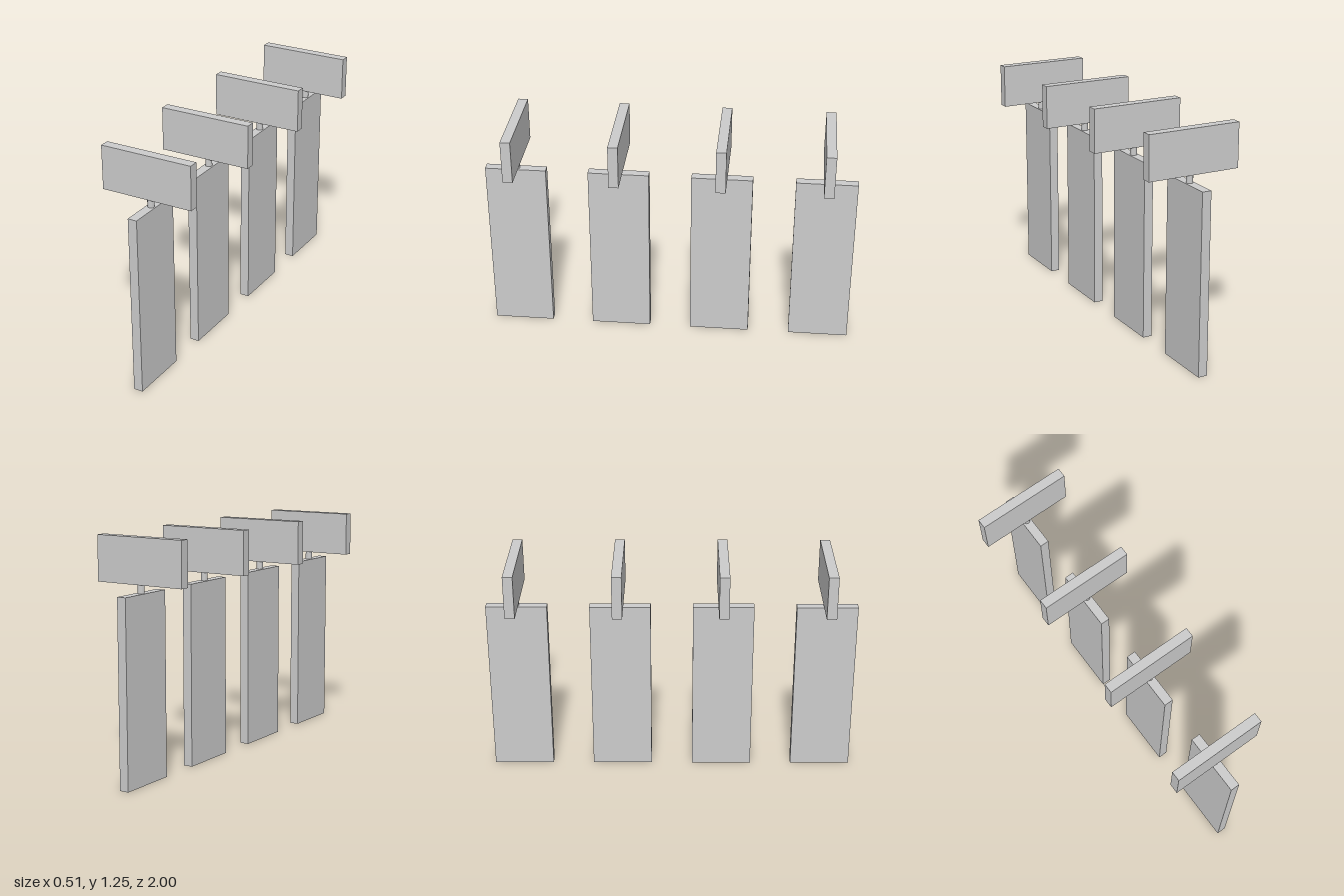
import * as THREE from 'three';

const material = new THREE.MeshStandardMaterial({ color: 0xcccccc, flatShading: true, side: THREE.DoubleSide });

function part(name, geometry, x, y, z) {
  const mesh = new THREE.Mesh(geometry, material);
  mesh.name = name;
  mesh.position.set(x, y, z);
  return mesh;
}

// Box without its underside (hollow shell): drop the -y face from the index
function openBottomBox(w, h, d) {
  const geometry = new THREE.BoxGeometry(w, h, d);
  const index = Array.from(geometry.index.array);
  index.splice(18, 6);
  geometry.setIndex(index);
  geometry.clearGroups();
  return geometry;
}

export function createModel() {
  const model = new THREE.Group();
  model.name = 'barrierRow';

  const pedestal = openBottomBox(0.05, 0.973, 0.329);
  const post = new THREE.CylinderGeometry(0.018, 0.018, 0.046, 12);
  const panel = new THREE.BoxGeometry(0.508, 0.236, 0.053);

  // Four identical stands in a row from front to back
  for (let i = 0; i < 4; i++) {
    const stand = new THREE.Group();
    stand.name = `stand${i + 1}`;
    stand.position.z = 0.8355 - i * 0.557;
    stand.add(
      part('pedestal', pedestal, 0.008, 0.4865, 0),
      part('post', post, 0.008, 0.995, -0.004),
      part('crossPanel', panel, -0.001, 1.135, -0.005)
    );
    model.add(stand);
  }
  return model;
}
